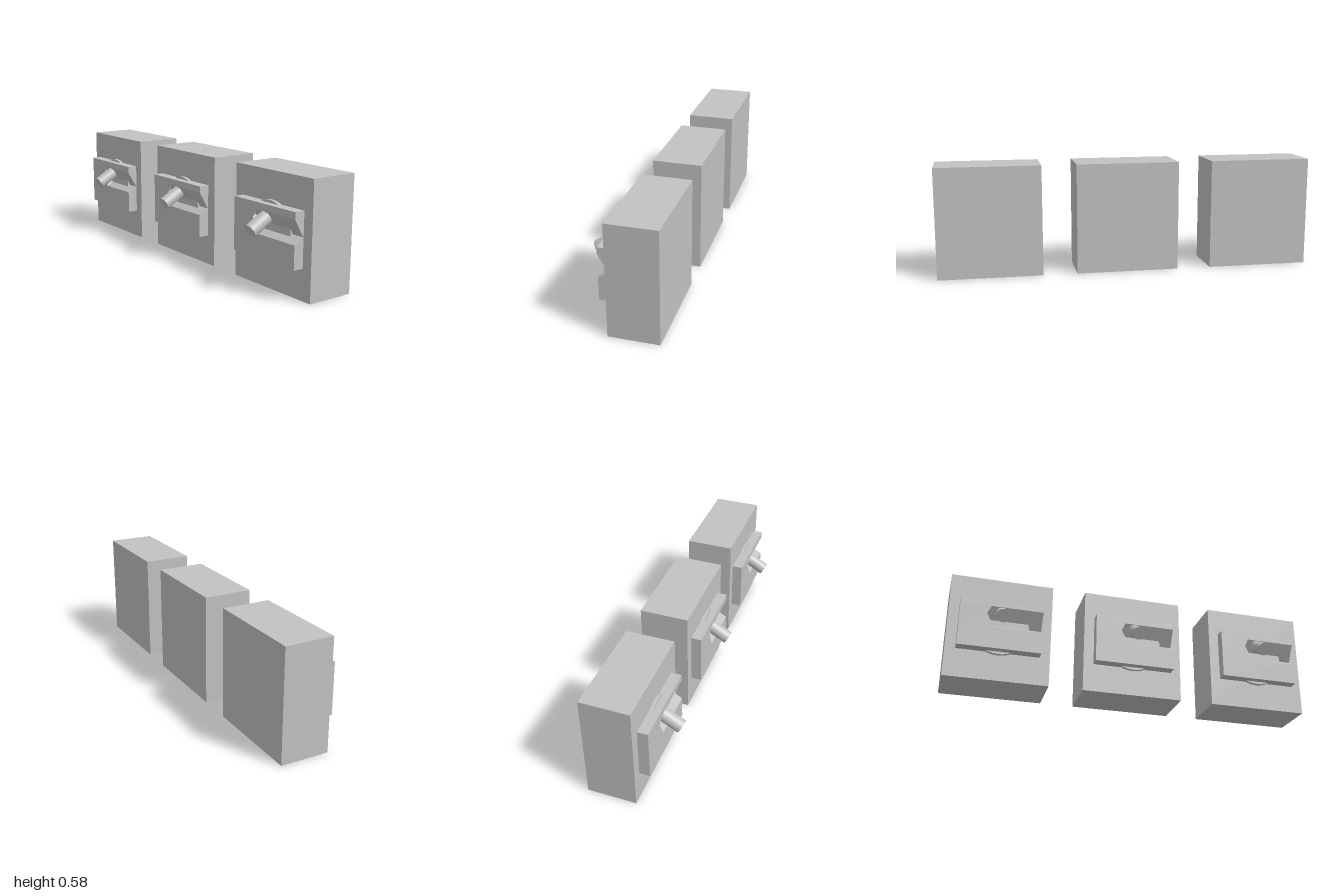
import * as THREE from 'three';

const grey = new THREE.MeshStandardMaterial({ color: 0xc2c2c2 });
grey.name = 'plain grey';

const W = 0.218, Y0 = 0.156, Y1 = 0.429;   // plate half width, bottom, top
const BACK = 0.052, FRONT = 0.107;         // plate back and front
const TILT = Math.PI / 6;                  // slot and rod point 30 degrees down
const FLOOR_Y = 0.305, FLOOR_Z = 0.055;    // deepest edge of the slot
const S_MAX = (FRONT - FLOOR_Z) / Math.sin(TILT);
const ROD_S = 0.067, ROD_R = 0.035, ROD_L = 0.113;

// Point on the tilted slot floor, s measured up the slope
const floorPoint = (x, s) => [x, FLOOR_Y + s * Math.cos(TILT), FLOOR_Z + s * Math.sin(TILT)];
// The same point pushed along the tilt to the plate's front
const frontPoint = (x, s) => {
  const [, y, z] = floorPoint(x, s);
  return [x, y - (FRONT - z) * Math.tan(TILT), FRONT];
};

// Flat faces, each a fan from its first corner
function facesGeometry(faces) {
  const positions = [];
  for (const f of faces)
    for (let i = 1; i < f.length - 1; i++) positions.push(...f[0], ...f[i], ...f[i + 1]);
  const g = new THREE.BufferGeometry();
  g.setAttribute('position', new THREE.Float32BufferAttribute(positions, 3));
  g.computeVertexNormals();
  return g;
}

// Plate with a tilted slot, open at +x and pointed like half a hexagon at -x
function plateGeometry() {
  const R = ROD_S / Math.cos(Math.PI / 6);
  const outline = [[W, 0], [-R / 2, 0], [-R, ROD_S], [-R + (S_MAX - ROD_S) / Math.sqrt(3), S_MAX], [W, S_MAX]];
  const [a0, b0, c0, d0, e0] = outline.map(p => floorPoint(...p));
  const [a1, b1, c1] = outline.map(p => frontPoint(...p));
  const f = (x, y) => [x, y, FRONT], b = (x, y) => [x, y, BACK];
  return facesGeometry([
    // front
    [f(-W, Y0), f(W, Y0), a1, f(-W, a1[1])],
    [f(-W, a1[1]), b1, c1, d0, f(-W, e0[1])],
    [f(-W, e0[1]), e0, f(W, Y1), f(-W, Y1)],
    // slot floor and walls
    [a0, e0, d0, c0, b0],
    [a0, b0, b1, a1],
    [b0, c0, c1, b1],
    [c0, d0, c1],
    // notched end
    [a0, a1, f(W, Y0), b(W, Y0), b(W, Y1), f(W, Y1), e0],
    // other end, top, bottom, back
    [b(-W, Y0), f(-W, Y0), f(-W, Y1), b(-W, Y1)],
    [f(-W, Y1), f(W, Y1), b(W, Y1), b(-W, Y1)],
    [b(-W, Y0), b(W, Y0), f(W, Y0), f(-W, Y0)],
    [b(W, Y0), b(-W, Y0), b(-W, Y1), b(W, Y1)],
  ]);
}

function faceted(geometry) {
  const g = geometry.toNonIndexed();
  g.computeVertexNormals();
  return g;
}

export function createModel() {
  const model = new THREE.Group();
  model.name = 'threeSlottedBlocks';

  const block = new THREE.BoxGeometry(0.546, 0.583, 0.255).translate(0, 0.2915, -0.0755);
  const disc = faceted(new THREE.CylinderGeometry(0.151, 0.151, 0.018, 36))
    .rotateX(Math.PI / 2).translate(0, 0.292, 0.061);
  const plate = plateGeometry();
  // Rod standing square on the slot floor
  const [, rodY, rodZ] = floorPoint(0, ROD_S);
  const rod = faceted(new THREE.CylinderGeometry(ROD_R, ROD_R, ROD_L, 28))
    .translate(0, ROD_L / 2, 0).rotateX(Math.PI / 2 + TILT).translate(0, rodY, rodZ);

  const parts = { block, plate, rod };
  for (const x of [-0.727, 0, 0.727]) {
    const unit = new THREE.Group();
    unit.name = 'unit';
    unit.position.x = x;
    for (const [name, geometry] of Object.entries(parts)) {
      const mesh = new THREE.Mesh(geometry, grey);
      mesh.name = name;
      unit.add(mesh);
    }
    // Round backing that peeks out above and below the plate
    const backing = new THREE.Mesh(disc, grey);
    backing.name = 'backingDisc';
    unit.add(backing);
    model.add(unit);
  }
  return model;
}
